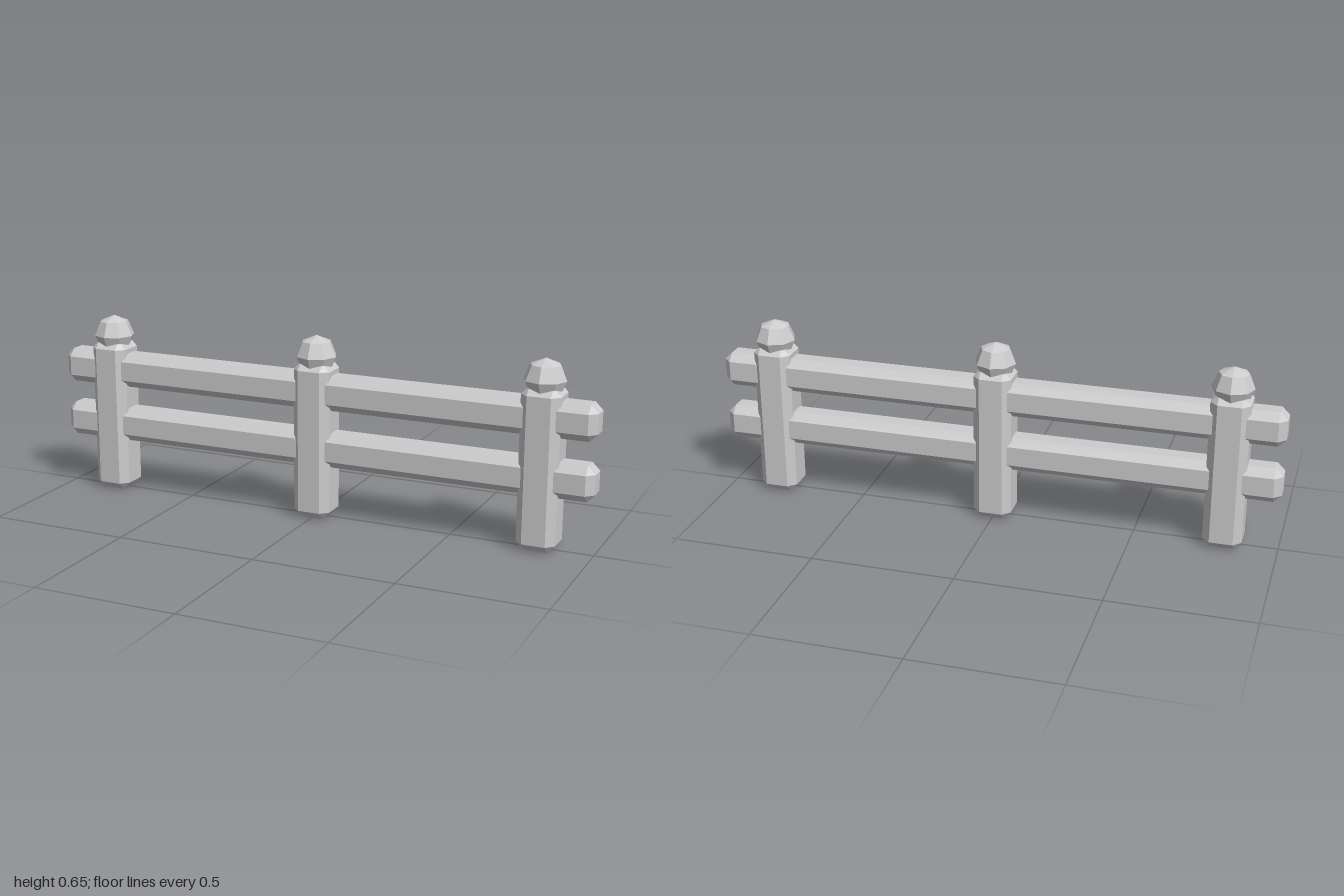
import * as THREE from 'three';
import { ConvexGeometry } from 'three/addons/geometries/ConvexGeometry.js';

// Box with every edge cut off by c: three points at each of its eight corners
function chamferedBox(w, h, d, c) {
  const points = [];
  for (const x of [-w / 2, w / 2])
    for (const y of [-h / 2, h / 2])
      for (const z of [-d / 2, d / 2]) {
        const ix = x - Math.sign(x) * c;
        const iy = y - Math.sign(y) * c;
        const iz = z - Math.sign(z) * c;
        points.push(
          new THREE.Vector3(x, iy, iz),
          new THREE.Vector3(ix, y, iz),
          new THREE.Vector3(ix, iy, z)
        );
      }
  return new ConvexGeometry(points);
}

export function createModel() {
  const fence = new THREE.Group();
  fence.name = 'fence';
  const grey = new THREE.MeshStandardMaterial({ color: 0xcccccc, flatShading: true });
  grey.name = 'light grey';

  function add(parent, name, geometry, x, y) {
    const mesh = new THREE.Mesh(geometry, grey);
    mesh.name = name;
    mesh.position.set(x, y, 0);
    parent.add(mesh);
  }

  // Three posts, each with a faceted ball on top
  const postHeight = 0.558;
  const postGeometry = chamferedBox(0.135, postHeight, 0.135, 0.027);
  const ballGeometry = new THREE.SphereGeometry(0.0725, 8, 4);
  for (const x of [-0.812, 0, 0.812]) {
    const post = new THREE.Group();
    post.name = 'fencePost';
    post.position.x = x;
    add(post, 'postShaft', postGeometry, 0, postHeight / 2);
    add(post, 'postBall', ballGeometry, 0, 0.575);
    fence.add(post);
  }

  // Two rails running through all the posts
  const railGeometry = chamferedBox(2, 0.123, 0.106, 0.027);
  add(fence, 'lowerRail', railGeometry, 0, 0.25);
  add(fence, 'upperRail', railGeometry, 0, 0.453);

  return fence;
}
